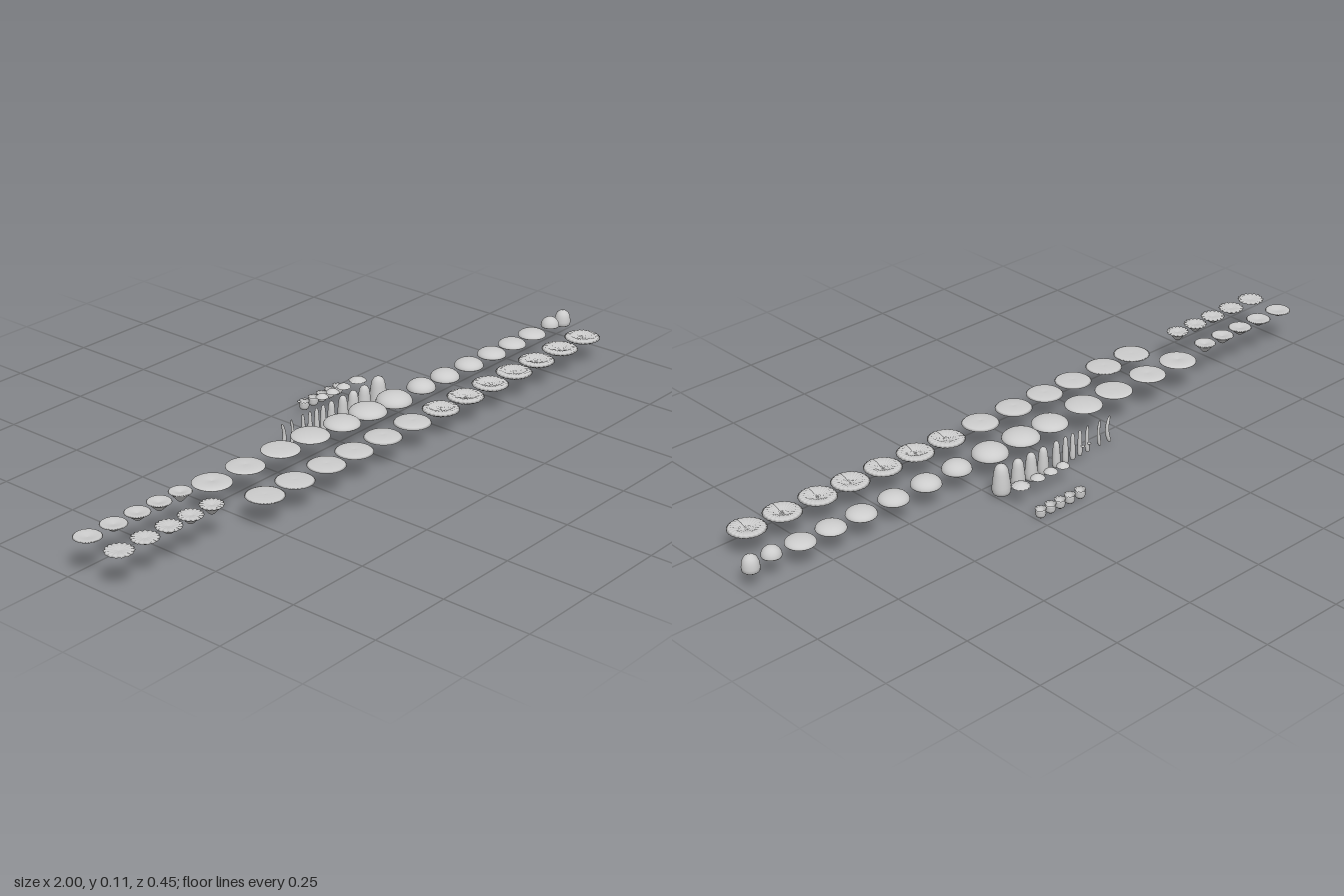
import * as THREE from 'three';

const material = new THREE.MeshStandardMaterial({ color: 0xcccccc, side: THREE.DoubleSide });

// Smooth turned form; points are [radius, height]. reshape(v, radius, angle) may move vertices.
function turned(name, points, [x, y, z], segments = 32, reshape = null) {
  const geometry = new THREE.LatheGeometry(points.map(([r, h]) => new THREE.Vector2(r, h)), segments);
  if (reshape) {
    const position = geometry.attributes.position;
    const v = new THREE.Vector3();
    for (let i = 0; i < position.count; i++) {
      v.fromBufferAttribute(position, i);
      reshape(v, Math.hypot(v.x, v.z), Math.atan2(v.z, v.x));
      position.setXYZ(i, v.x, v.y, v.z);
    }
    geometry.computeVertexNormals();
  }
  const mesh = new THREE.Mesh(geometry, material);
  mesh.name = name;
  mesh.position.set(x, y, z);
  return mesh;
}

// Domed cap with a hollow underside; bulge < 1 is pointed, dip sinks the crown
function cap(name, r, height, at, bulge = 1, dip = 0) {
  const points = [[0, height * 0.45], [r * 0.5, height * 0.3], [r * 0.9, height * 0.04], [r * 0.98, 0]];
  for (let i = 0; i <= 12; i++) {
    const a = (i / 12) * Math.PI / 2;
    const k = Math.cos(a);
    points.push([r * k, height * (0.06 + 0.94 * Math.pow(Math.sin(a), 1 / bulge)) - dip * Math.pow(1 - k, 2)]);
  }
  return turned(name, points, at);
}

export function createModel() {
  const group = new THREE.Group();
  group.name = 'mushroomParts';

  // Small funnel caps: a plain row and a frilled row
  [-0.964, -0.878, -0.798, -0.723, -0.649].forEach((x, i) => {
    const r = 0.037 - i * 0.0015;
    const depth = 0.016 + i * 0.0028;
    const points = [[0, -depth], [r * 0.25, -depth * 0.9], [r * 0.55, -depth * 0.5], [r * 0.85, -depth * 0.12],
      [r, 0], [r * 0.9, 0.003], [r * 0.5, 0.001], [0, -depth * 0.12]];
    group.add(turned('funnelCap', points, [x, 0.108, 0.037], 32));
    group.add(turned('frilledFunnelCap', points, [x, 0.108, 0.144], 64, (v, rad, a) => {
      const edge = Math.pow(rad / r, 4);
      const wave = Math.cos(a * 16);
      v.x *= 1 + 0.05 * wave * edge;
      v.z *= 1 + 0.05 * wave * edge;
      v.y -= 0.004 * edge * (1 - wave) / 2;
    }));
  });

  // Cap row, from sunken discs through domes to an egg: x, radius, base, height, bulge, dip
  [
    [-0.537, 0.053, 0.090, 0.011, 1, 0.006],
    [-0.414, 0.052, 0.090, 0.009, 1, 0.003],
    [-0.280, 0.053, 0.088, 0.009, 1, 0.001],
    [-0.163, 0.053, 0.086, 0.014, 1, 0],
    [-0.035, 0.051, 0.075, 0.021, 1, 0],
    [0.072, 0.053, 0.072, 0.025, 1, 0],
    [0.184, 0.051, 0.066, 0.031, 1, 0],
    [0.302, 0.041, 0.066, 0.029, 1, 0],
    [0.408, 0.042, 0.063, 0.027, 1, 0],
    [0.518, 0.042, 0.063, 0.024, 1, 0],
    [0.625, 0.042, 0.063, 0.021, 1, 0],
    [0.723, 0.041, 0.063, 0.019, 1, 0],
    [0.820, 0.041, 0.063, 0.018, 1, 0],
    [0.910, 0.027, 0.064, 0.029, 1, 0],
  ].forEach(([x, r, y, h, bulge, dip]) => group.add(cap('cap', r, h, [x, y, 0.038], bulge, dip)));
  group.add(turned('eggCap', [[0, 0.001], [0.018, 0], [0.023, 0.004], [0.024, 0.014], [0.022, 0.029],
    [0.017, 0.04], [0.009, 0.046], [0, 0.048]], [0.974, 0.047, 0.038]));

  // Shallow discs, then gill discs with radial ridges
  [-0.488, -0.376, -0.254, -0.144, -0.027, 0.096].forEach((x, i) => {
    const top = 0.004 + i * 0.0012;
    group.add(turned('shallowDisc', [[0, -0.009], [0.025, -0.007], [0.045, -0.002], [0.052, 0], [0.047, top * 0.5],
      [0.03, top * 0.8], [0.012, top], [0, top * 0.8]], [x, 0.080 - i * 0.001, 0.173]));
  });
  [0.219, 0.328, 0.44, 0.55, 0.657, 0.771, 0.883].forEach((x, i) => {
    const hub = i % 3 === 0 ? 0.006 : 0.012;
    group.add(turned('gillDisc', [[0, -0.013], [0.02, -0.012], [0.04, -0.006], [0.052, 0.001], [0.046, 0.005],
      [0.034, 0.007], [0.022, 0.004], [hub, -0.001], [0, 0]], [x, 0.072, 0.173], 96, (v, rad, a) => {
      v.y += 0.0008 * Math.cos(a * 24) * Math.min(1, rad / 0.03);
    }));
  });

  // Stems, thin and bent to stout: x, radius, bottom, top, bend
  [
    [-0.160, 0.006, 0.012, 0.092, 0.010],
    [-0.125, 0.005, 0.014, 0.092, 0.005],
    [-0.080, 0.006, 0.012, 0.092, 0.003],
    [-0.052, 0.007, 0.012, 0.090, 0],
    [-0.025, 0.008, 0.010, 0.090, 0],
    [0.002, 0.009, 0.010, 0.090, 0],
    [0.036, 0.012, 0.010, 0.090, 0],
    [0.084, 0.016, 0.010, 0.090, 0],
    [0.128, 0.018, 0.008, 0.090, 0],
    [0.175, 0.020, 0.008, 0.090, 0],
    [0.235, 0.026, 0.008, 0.097, 0],
  ].forEach(([x, r, low, high, bend]) => {
    const h = high - low;
    const points = [[0, 0], [0.65, 0.01], [0.9, 0.05], [1, 0.15], [0.98, 0.3], [0.9, 0.5], [0.8, 0.7],
      [0.7, 0.85], [0.5, 0.95], [0.25, 0.99], [0, 1]].map(([a, b]) => [a * r, b * h]);
    group.add(turned('stem', points, [x, low, -0.061], 20, (v) => {
      v.x += bend * (Math.sin(v.y / h * Math.PI) - 0.5);
    }));
  });

  // Stem rings; the last one has a toothed hem
  [[0.084, 0.018], [0.128, 0.019], [0.175, 0.020], [0.235, 0.025]].forEach(([x, r], i) => {
    group.add(turned('stemRing', [[r, 0], [r * 0.9, 0.003], [r * 0.65, 0.007], [r * 0.35, 0.010], [0, 0.011]],
      [x, 0.063, -0.136], 48, (v, rad, a) => {
        const k = i === 3 ? 1 + 0.07 * Math.cos(a * 12) * Math.pow(rad / r, 3) : 1;
        v.x *= k;
        v.z *= k;
      }));
  });
  [-0.02, 0.003].forEach((x) => group.add(turned('smallRing',
    [[0, -0.003], [0.003, -0.002], [0.006, 0.001], [0.003, 0.003], [0, 0.003]], [x, 0.087, -0.128], 16)));

  // Base cups with a frilled lip
  [0.093, 0.131, 0.166, 0.2, 0.235].forEach((x) => {
    group.add(turned('baseCup', [[0, 0], [0.006, 0.001], [0.012, 0.006], [0.0145, 0.013], [0.0135, 0.021],
      [0.0155, 0.028], [0.0115, 0.022], [0.010, 0.012], [0, 0.008]], [x, 0, -0.21], 40, (v, rad, a) => {
      if (v.y > 0.025) v.y += 0.001 * Math.cos(a * 10);
    }));
  });

  return group;
}
